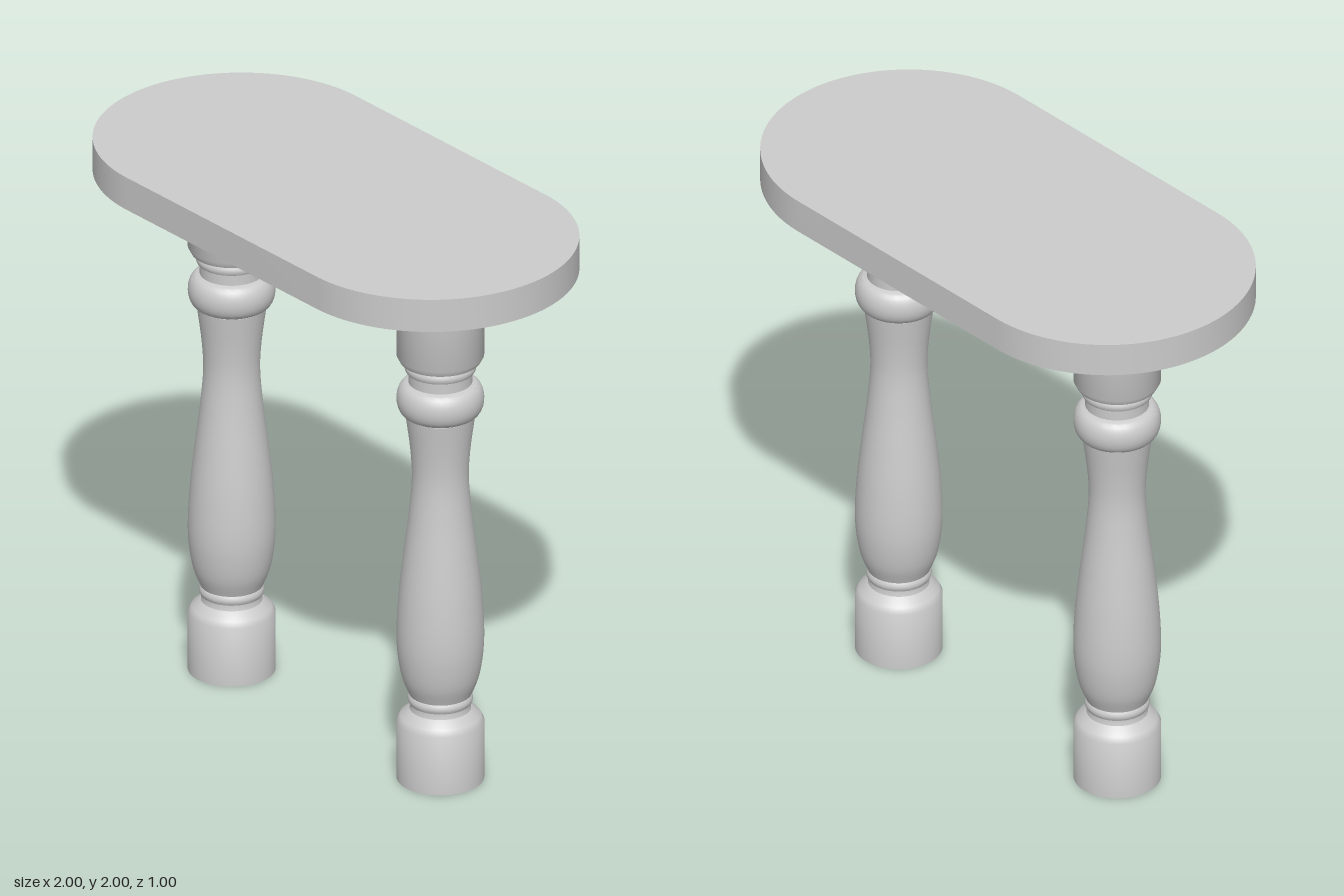
import * as THREE from 'three';
import { toCreasedNormals } from 'three/addons/utils/BufferGeometryUtils.js';

const LEG_X = 0.55;
const TOP_Y = 1.88;

// Rounded bead bulging from radius r to R between heights y0 and y1
function bead(r, R, y0, y1, steps = 10) {
  return Array.from({ length: steps + 1 }, (_, i) => {
    const a = Math.PI * (i / steps - 0.5);
    return [r + (R - r) * Math.cos(a), (y0 + y1) / 2 + (y1 - y0) / 2 * Math.sin(a)];
  });
}

// Smooth vase-shaped shaft through a few [radius, height] points
function shaft() {
  const pts = [[0.106, 0.315], [0.129, 0.375], [0.144, 0.46], [0.148, 0.54], [0.141, 0.68],
    [0.125, 0.83], [0.107, 0.98], [0.096, 1.12], [0.101, 1.22], [0.118, 1.355]];
  const curve = new THREE.CatmullRomCurve3(pts.map(([r, y]) => new THREE.Vector3(r, y, 0)));
  return curve.getPoints(36).map((p) => [p.x, p.y]);
}

function legGeometry() {
  const profile = [
    [0, 0], [0.148, 0], [0.148, 0.215],              // foot block
    [0.136, 0.235], [0.104, 0.26], [0.1, 0.278],     // chamfer and groove
    ...bead(0.1, 0.11, 0.279, 0.314, 6),             // lower ring
    ...shaft(),
    ...bead(0.113, 0.148, 1.356, 1.475, 14),         // collar
    [0.108, 1.477], [0.108, 1.515],                  // neck
    ...bead(0.112, 0.121, 1.516, 1.55, 6),           // upper ring
    [0.124, 1.552], [0.137, 1.557], [0.148, 1.578],  // head block
    [0.148, TOP_Y], [0, TOP_Y],
  ].map(([r, y]) => new THREE.Vector2(r, y));
  return toCreasedNormals(new THREE.LatheGeometry(profile, 48), 0.6);
}

// Stadium-shaped slab with half-round ends
function topGeometry() {
  const shape = new THREE.Shape();
  shape.absarc(0.5, 0, 0.5, -Math.PI / 2, Math.PI / 2);
  shape.absarc(-0.5, 0, 0.5, Math.PI / 2, Math.PI * 1.5);
  shape.closePath();
  const geo = new THREE.ExtrudeGeometry(shape, { depth: 2 - TOP_Y, bevelEnabled: false, curveSegments: 40 });
  geo.rotateX(-Math.PI / 2).translate(0, TOP_Y, 0);
  return toCreasedNormals(geo, 0.6);
}

export function createModel() {
  const group = new THREE.Group();
  group.name = 'table';
  const material = new THREE.MeshStandardMaterial({ color: 0xcccccc });

  const top = new THREE.Mesh(topGeometry(), material);
  top.name = 'tableTop';
  group.add(top);

  const leg = legGeometry();
  for (const [name, side] of [['leftLeg', 1], ['rightLeg', -1]]) {
    const mesh = new THREE.Mesh(leg, material);
    mesh.name = name;
    mesh.position.x = side * LEG_X;
    group.add(mesh);
  }
  return group;
}
